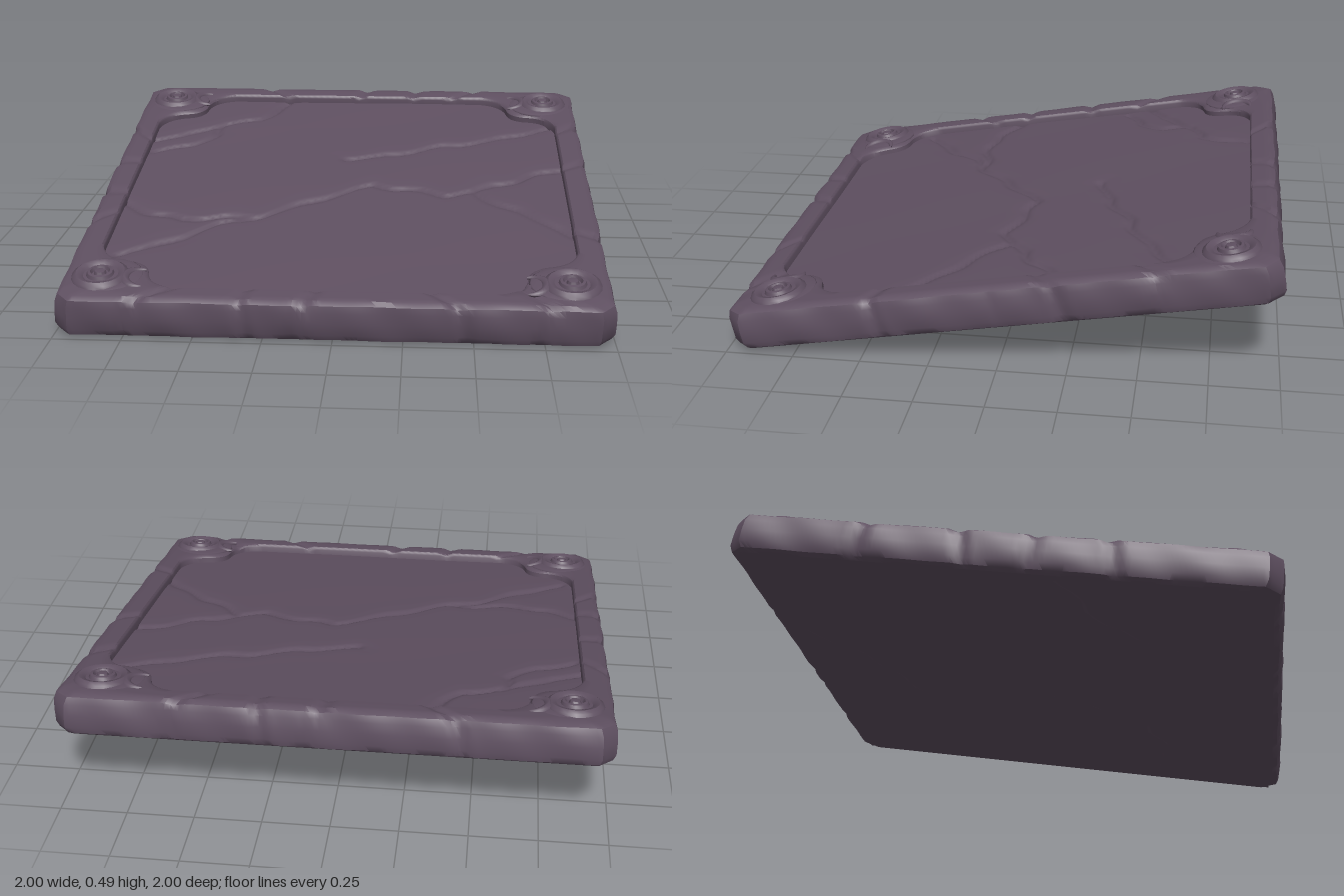
import * as THREE from 'three';
import { toCreasedNormals } from 'three/addons/utils/BufferGeometryUtils.js';

const stone = new THREE.MeshStandardMaterial({ color: 0x5e4f60 });
stone.name = 'purple stone';

const TOP = 0.16, FLOOR = 0.127, TILT = 0.166;

// Crack paths as [x, z] points
const panelCracks = [
  [[-0.85, 0.6], [-0.75, 0.55], [-0.6, 0.44], [-0.5, 0.34], [-0.35, 0.27], [-0.2, 0.17], [-0.05, 0.07],
    [0.1, -0.03], [0.25, 0], [0.4, 0.05], [0.5, 0.02], [0.6, -0.06], [0.7, -0.09], [0.78, -0.15], [0.92, -0.22]],
  [[-0.03, -0.29], [0.1, -0.31], [0.25, -0.37], [0.4, -0.43], [0.6, -0.49], [0.72, -0.56], [0.92, -0.65]],
  [[-0.92, 0.18], [-0.76, 0.26], [-0.65, 0.3], [-0.5, 0.28], [-0.35, 0.27]],
  [[-0.92, -0.45], [-0.78, -0.49], [-0.62, -0.62], [-0.45, -0.69], [-0.32, -0.9]],
  [[-0.6, -0.64], [-0.62, -0.52], [-0.72, -0.41], [-0.86, -0.33]],
  [[0.5, 0.02], [0.62, 0.13], [0.75, 0.24], [0.84, 0.33], [0.92, 0.42]],
];
const undersideCracks = [
  [[-0.34, -0.95], [-0.1, -0.7], [0.26, -0.52], [0.07, -0.13], [0.32, 0.44], [0.2, 0.7], [0.26, 0.95]],
  [[-0.95, 0.2], [-0.59, 0.33], [-0.4, 0.6], [-0.5, 0.95]],
  [[0.3, 0.4], [0.6, 0.5], [0.95, 0.4]],
];

function distanceToPath(x, z, path) {
  let best = Infinity;
  for (let i = 1; i < path.length; i++) {
    const [ax, az] = path[i - 1], dx = path[i][0] - ax, dz = path[i][1] - az;
    const t = THREE.MathUtils.clamp(((x - ax) * dx + (z - az) * dz) / (dx * dx + dz * dz), 0, 1);
    best = Math.min(best, Math.hypot(x - ax - t * dx, z - az - t * dz));
  }
  return best;
}

// Flat sheet carved with V-shaped cracks and gentle dents
function crackedSheet(half, segments, cracks, depth, up) {
  const geo = new THREE.PlaneGeometry(half * 2, half * 2, segments, segments);
  geo.rotateX(up ? -Math.PI / 2 : Math.PI / 2);
  const p = geo.attributes.position;
  for (let i = 0; i < p.count; i++) {
    const x = p.getX(i), z = p.getZ(i);
    const jx = x + 0.01 * Math.sin(z * 31 + x * 9), jz = z + 0.012 * Math.sin(x * 27 + z * 5);
    let carve = 0.002 * (1 + Math.sin(x * 5 + z * 3) * Math.cos(z * 6 - x * 2));
    let nearest = Infinity;
    for (const c of cracks) nearest = Math.min(nearest, distanceToPath(jx, jz, c));
    carve += depth * Math.max(0, 1 - nearest / 0.02) + 0.003 * Math.max(0, 1 - nearest / 0.07);
    p.setY(i, up ? -carve : carve);
  }
  geo.computeVertexNormals();
  return geo;
}

// Notched inner outline: one corner turned four times
function innerOutline() {
  const corner = new THREE.Path();
  corner.moveTo(0.89, 0);
  corner.lineTo(0.89, 0.58);
  corner.quadraticCurveTo(0.87, 0.68, 0.78, 0.695);
  corner.quadraticCurveTo(0.7, 0.7, 0.685, 0.77);
  corner.quadraticCurveTo(0.67, 0.87, 0.57, 0.89);
  corner.lineTo(0, 0.89);
  const quarter = corner.getSpacedPoints(110).slice(0, -1);
  return [0, 1, 2, 3].flatMap(k =>
    quarter.map(v => v.clone().rotateAround(new THREE.Vector2(), k * Math.PI / 2)));
}

function outerOutline(count) {
  const path = new THREE.Path(), c = 0.95;
  path.moveTo(1, 0);
  [[1, c], [c, 1], [-c, 1], [-1, c], [-1, -c], [-c, -1], [c, -1], [1, -c], [1, 0]].forEach(q => path.lineTo(...q));
  return path.getSpacedPoints(count).slice(0, -1);
}

// Frame: a cross-section swept between the two outlines, notched at intervals
function frameGeometry() {
  const inner = innerOutline(), N = inner.length, outer = outerOutline(N);
  // [inset from the outside, blend towards the inner outline, height]
  const section = [[0.07, 0, 0.002], [0.03, 0, 0], [0.009, 0, 0.011], [0, 0, 0.035], [0, 0, 0.08], [0.002, 0, 0.122],
    [0.01, 0, 0.148], [0.03, 0, TOP], [0.03, 0.3, TOP], [0.03, 0.65, TOP], [0.03, 0.9, TOP - 0.001],
    [0.03, 0.97, TOP - 0.006], [0, 1, TOP - 0.014], [0, 1, FLOOR - 0.012]];
  const notches = [0.025, 0.075, 0.94, 0.18, 0.215, 0.245, 0.305, 0.438, 0.48, 0.518, 0.55, 0.66, 0.706, 0.737, 0.806, 0.85];
  const pos = [], idx = [], M = section.length;
  for (let i = 0; i < N; i++) {
    section.forEach(([inset, blend, h], j) => {
      const f = i / N;
      let cut = 0;
      notches.forEach((n, k) => {
        const shifted = n + (k % 2 ? 1 : -1) * 0.0011 * (j - 7);
        cut = Math.max(cut, 1 - Math.abs(f - shifted) / 0.005);
      });
      const wear = j > 1 && j < 8 ? 0.003 * (1 + Math.sin(f * 150 + j) * Math.sin(f * 67)) + 0.009 * cut : 0;
      const s = 1 - inset - wear;
      const x = THREE.MathUtils.lerp(outer[i].x * s, inner[i].x, blend);
      const z = -THREE.MathUtils.lerp(outer[i].y * s, inner[i].y, blend);
      pos.push(x, h - (j > 5 && j < 13 ? 0.01 * cut : 0), z);
      if (j < M - 1) {
        const a = i * M + j, b = ((i + 1) % N) * M + j;
        idx.push(a, b, a + 1, b, b + 1, a + 1);
      }
    });
  }
  const geo = new THREE.BufferGeometry();
  geo.setAttribute('position', new THREE.Float32BufferAttribute(pos, 3));
  geo.setIndex(idx);
  return toCreasedNormals(geo, 0.6);
}

// Rosette profile: two raised rings around a small boss
function rosetteGeometry() {
  const profile = [[0.108, -0.005], [0.102, 0.01], [0.088, 0.02], [0.072, 0.016], [0.06, 0.004], [0.052, 0.006],
    [0.046, 0.02], [0.036, 0.022], [0.029, 0.006], [0.024, 0.008], [0.018, 0.022], [0, 0.025]];
  return toCreasedNormals(new THREE.LatheGeometry(profile.map(q => new THREE.Vector2(...q)), 20), 0.7);
}

// Crescent: arc that thins towards both ends
function crescentGeometry() {
  const geo = new THREE.TorusGeometry(0.06, 0.021, 8, 20, Math.PI * 1.1);
  const p = geo.attributes.position;
  for (let i = 0; i < p.count; i++) {
    const a = Math.atan2(p.getY(i), p.getX(i));
    const t = (a < -Math.PI / 2 ? a + Math.PI * 2 : a) / (Math.PI * 1.1);
    const k = 0.25 + 0.75 * Math.sin(Math.PI * THREE.MathUtils.clamp(t, 0, 1));
    const cx = Math.cos(a) * 0.06, cy = Math.sin(a) * 0.06;
    p.setXYZ(i, cx + (p.getX(i) - cx) * k, cy + (p.getY(i) - cy) * k, p.getZ(i) * k);
  }
  geo.computeVertexNormals();
  geo.rotateX(-Math.PI / 2);
  return geo;
}

export function createModel() {
  const model = new THREE.Group();
  model.name = 'tiltedStoneSlab';
  const slab = new THREE.Group();
  slab.name = 'slab';
  slab.rotation.x = TILT;
  slab.position.set(0, 0.164, -0.013);
  model.add(slab);

  const add = (name, geo, x, y, z) => {
    const mesh = new THREE.Mesh(geo, stone);
    mesh.name = name;
    mesh.position.set(x, y, z);
    slab.add(mesh);
    return mesh;
  };

  add('frame', frameGeometry(), 0, 0, 0).scale.z = 1.007;
  add('crackedPanel', crackedSheet(0.92, 130, panelCracks, 0.014, true), 0, FLOOR, 0);
  add('underside', crackedSheet(0.96, 90, undersideCracks, 0.012, false), 0, -0.001, 0);

  // Corner ornaments
  const rosette = rosetteGeometry(), crescent = crescentGeometry();
  for (const sx of [-1, 1]) for (const sz of [-1, 1]) {
    add('cornerRosette', rosette, sx * 0.85, TOP, sz * 0.832);
    const c = add('cornerCrescent', crescent, sx * 0.7, TOP - 0.002, sz * 0.84);
    c.rotation.y = sx < 0 ? Math.PI * 0.45 : -Math.PI * 0.55;
    // Low swelling that joins the ornaments
    const swell = add('cornerSwelling', new THREE.SphereGeometry(1, 20, 10), sx * 0.83, TOP - 0.004, sz * 0.82);
    swell.scale.set(0.135, 0.014, 0.125);
  }
  return model;
}
